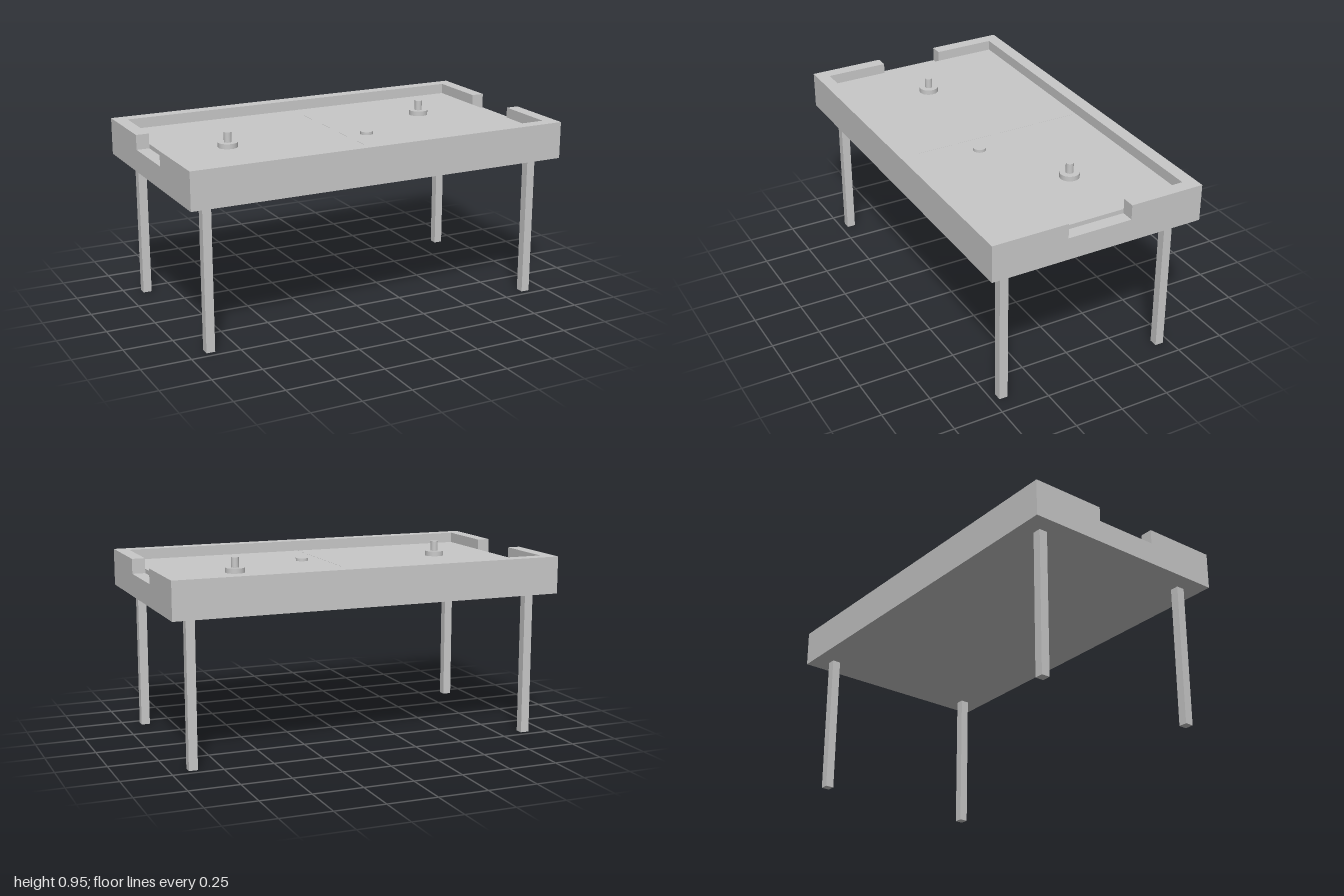
import * as THREE from 'three';

export function createModel() {
  const model = new THREE.Group();
  model.name = 'airHockeyTable';
  const grey = new THREE.MeshStandardMaterial({ color: 0xc8c8c8 });
  grey.name = 'light grey';

  function add(parent, name, geometry, x, y, z) {
    const mesh = new THREE.Mesh(geometry, grey);
    mesh.name = name;
    mesh.position.set(x, y, z);
    parent.add(mesh);
    return mesh;
  }
  // Box given by its lower and upper corners
  function box(name, x0, x1, y0, y1, z0, z1) {
    return add(model, name, new THREE.BoxGeometry(x1 - x0, y1 - y0, z1 - z0),
      (x0 + x1) / 2, (y0 + y1) / 2, (z0 + z1) / 2);
  }
  // Upright disc standing on height y
  function disc(parent, name, radius, height, y) {
    return add(parent, name, new THREE.CylinderGeometry(radius, radius, height, 32), 0, y + height / 2, 0);
  }

  const W = 1, D = 0.555, rim = 0.066, goal = 0.167;
  const bottom = 0.735, sill = 0.848, surface = 0.87, top = 0.923;

  // Cabinet below the goal sills, the playing field and its thin centre line
  box('cabinet', -W, W, bottom, sill, -D, D);
  box('playingField', -W + rim, W - rim, sill, surface, -D + rim, D - rim);
  box('centreLine', -0.002, 0.002, surface, surface + 0.0006, -D + rim, D - rim);

  // Side rails, and end rails split by the goal openings
  for (const s of [-1, 1]) {
    const zs = [s * (D - rim), s * D].sort((a, b) => a - b);
    box('sideRail', -W, W, sill, top, zs[0], zs[1]);
    const xs = [s * (W - rim), s * W].sort((a, b) => a - b);
    box('endRail', xs[0], xs[1], sill, top, goal, D - rim);
    box('endRail', xs[0], xs[1], sill, top, -D + rim, -goal);
  }

  // Square legs
  for (const x of [-0.89, 0.89]) {
    for (const z of [-0.444, 0.444]) {
      box('leg', x - 0.022, x + 0.022, 0, bottom, z - 0.022, z + 0.022);
    }
  }

  // Mallets: wide foot with a slim grip
  for (const [x, z] of [[-0.611, 0.056], [0.555, -0.11]]) {
    const mallet = new THREE.Group();
    mallet.name = 'mallet';
    mallet.position.set(x, surface, z);
    disc(mallet, 'malletFoot', 0.049, 0.025, 0);
    disc(mallet, 'malletGrip', 0.019, 0.051, 0.025);
    model.add(mallet);
  }

  // Puck
  const puck = disc(model, 'puck', 0.032, 0.015, surface);
  puck.position.x = 0.111;
  puck.position.z = 0.136;

  return model;
}
